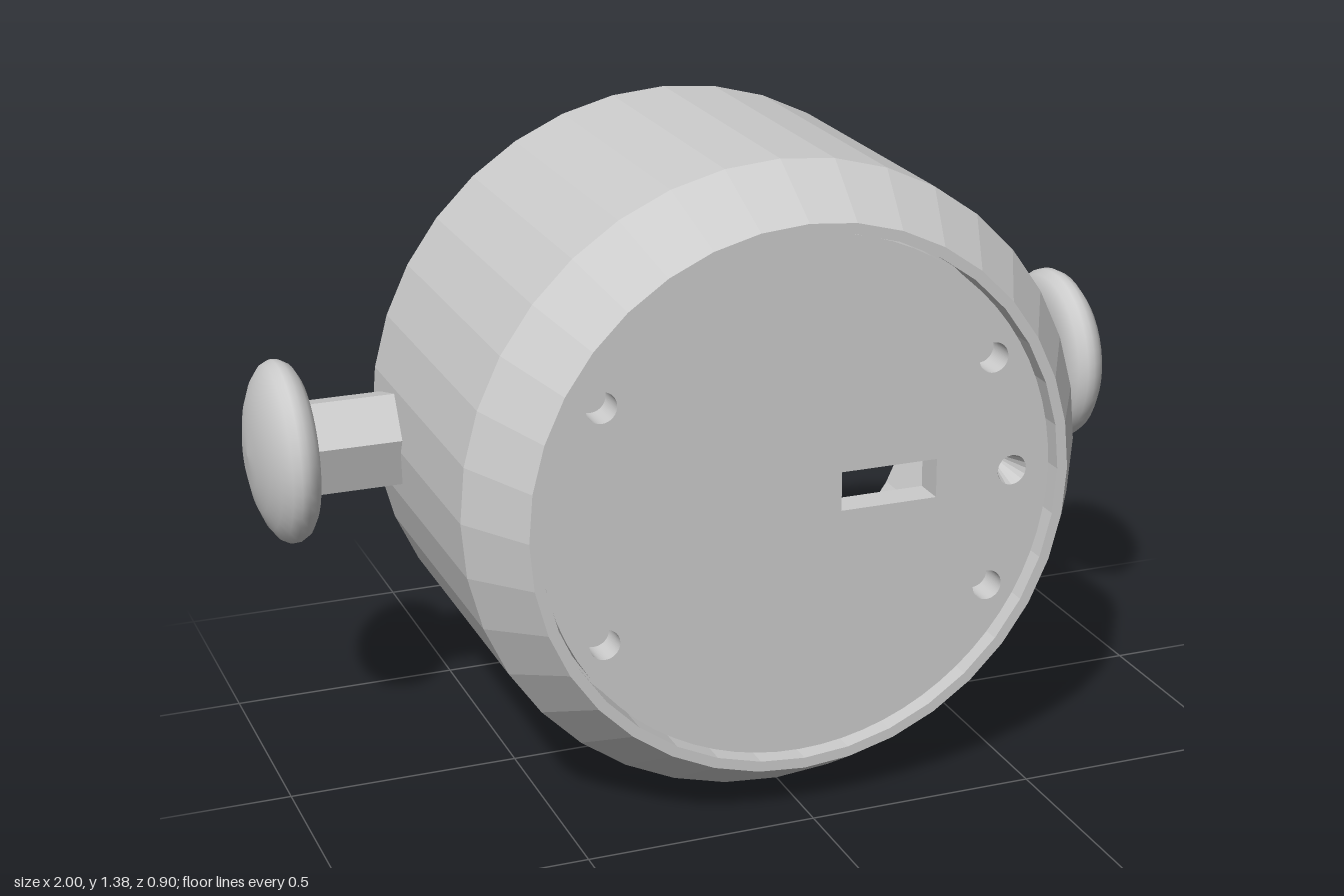
import * as THREE from 'three';

const CY = 0.69; // height of the drum axis
const flat = new THREE.MeshStandardMaterial({ color: 0xcccccc, flatShading: true, side: THREE.DoubleSide });
const smooth = new THREE.MeshStandardMaterial({ color: 0xcccccc, side: THREE.DoubleSide });

const v2 = (pts) => pts.map(([x, y]) => new THREE.Vector2(x, y));

function add(parent, name, geometry, material = flat) {
  const mesh = new THREE.Mesh(geometry, material);
  mesh.name = name;
  parent.add(mesh);
  return mesh;
}

function disc(r, x = 0, y = 0) {
  const s = new THREE.Shape();
  s.absarc(x, y, r, 0, Math.PI * 2, false);
  return s;
}

function rect(x0, x1, y0, y1) {
  return new THREE.Shape(v2([[x0, y0], [x1, y0], [x1, y1], [x0, y1]]));
}

// Extrude a shape with holes between two depths
function slab(shape, holes, z0, z1, segments = 16) {
  shape.holes.push(...holes);
  const g = new THREE.ExtrudeGeometry(shape, { depth: z1 - z0, bevelEnabled: false, curveSegments: segments });
  return g.translate(0, 0, z0);
}

export function createModel() {
  const model = new THREE.Group();
  model.name = 'drumHousing';
  const body = new THREE.Group();
  body.name = 'body';
  body.position.y = CY;
  model.add(body);

  // Faceted shell: outer wall, bevelled front rim, inner wall
  const shellProfile = v2([
    [0.645, -0.38], [0.69, -0.38], [0.69, 0.295], [0.595, 0.45], [0.572, 0.45],
    [0.572, 0.27], [0.61, 0.27], [0.635, 0.255], [0.645, 0.23], [0.645, -0.38],
  ]);
  add(body, 'shell', new THREE.LatheGeometry(shellProfile, 36).rotateX(Math.PI / 2));

  // Front panel with slot, four screw holes and an indicator hole
  const holes = [rect(0.09, 0.305, -0.037, 0.048), disc(0.033, 0.48, 0)];
  for (const x of [-0.43, 0.43]) for (const y of [-0.255, 0.255]) holes.push(disc(0.033, x, y));
  add(body, 'frontPanel', slab(disc(0.565), holes, 0.35, 0.42, 36));

  // Inner layer of the panel with a wide pocket behind the slot
  add(body, 'panelBacking', slab(disc(0.574), [rect(-0.29, 0.36, -0.1, 0.12)], 0.27, 0.35, 36));

  // Tapered lining of the indicator hole
  const taper = add(body, 'indicatorTaper', new THREE.CylinderGeometry(0.033, 0.014, 0.07, 16, 1, true));
  taper.rotation.x = Math.PI / 2;
  taper.position.set(0.48, 0, 0.385);

  // Short screw bosses around the inside wall
  for (let i = 0; i < 6; i++) {
    const s = new THREE.Shape();
    s.moveTo(0.655, 0.055);
    s.lineTo(0.53, 0.055);
    s.absarc(0.53, 0, 0.055, Math.PI / 2, Math.PI * 1.5, false);
    s.lineTo(0.655, -0.055);
    const boss = add(body, 'screwBoss', slab(s, [disc(0.022, 0.53, 0)], 0.06, 0.28, 8));
    boss.rotation.z = Math.PI / 6 + (i * Math.PI) / 3;
  }

  // Full-depth screw tubes at top and bottom
  for (const angle of [75, 255]) {
    const tube = add(body, 'screwTube', slab(disc(0.058, 0.61, 0), [disc(0.027, 0.61, 0)], -0.38, 0.28));
    tube.rotation.z = THREE.MathUtils.degToRad(angle);
  }

  // Side assemblies: inner mounting block, axle, hexagonal shaft and domed knob
  const knobProfile = v2([
    [0, 0.875], [0.13, 0.875], [0.165, 0.88], [0.187, 0.893], [0.198, 0.912], [0.199, 0.928],
    [0.19, 0.946], [0.165, 0.965], [0.125, 0.982], [0.07, 0.995], [0, 1],
  ]);
  for (const side of [1, -1]) {
    const g = new THREE.Group();
    g.name = side > 0 ? 'leftHandle' : 'rightHandle';
    g.scale.x = side;
    body.add(g);

    const block = add(g, 'mountingBlock', new THREE.BoxGeometry(0.08, 0.24, 0.66));
    block.position.set(0.61, 0, -0.05);

    const axle = add(g, 'axle', new THREE.CylinderGeometry(0.045, 0.045, 0.12, 20));
    axle.rotation.z = -Math.PI / 2;
    axle.position.set(0.53, 0, -0.25);

    const shaft = add(g, 'hexShaft',
      new THREE.CylinderGeometry(0.113, 0.113, 0.22, 6, 1, false, -Math.PI / 12));
    shaft.rotation.z = -Math.PI / 2;
    shaft.position.set(0.77, 0, -0.25);

    const knob = add(g, 'knob', new THREE.LatheGeometry(knobProfile, 40), smooth);
    knob.rotation.z = -Math.PI / 2;
    knob.position.z = -0.25;
  }
  return model;
}
